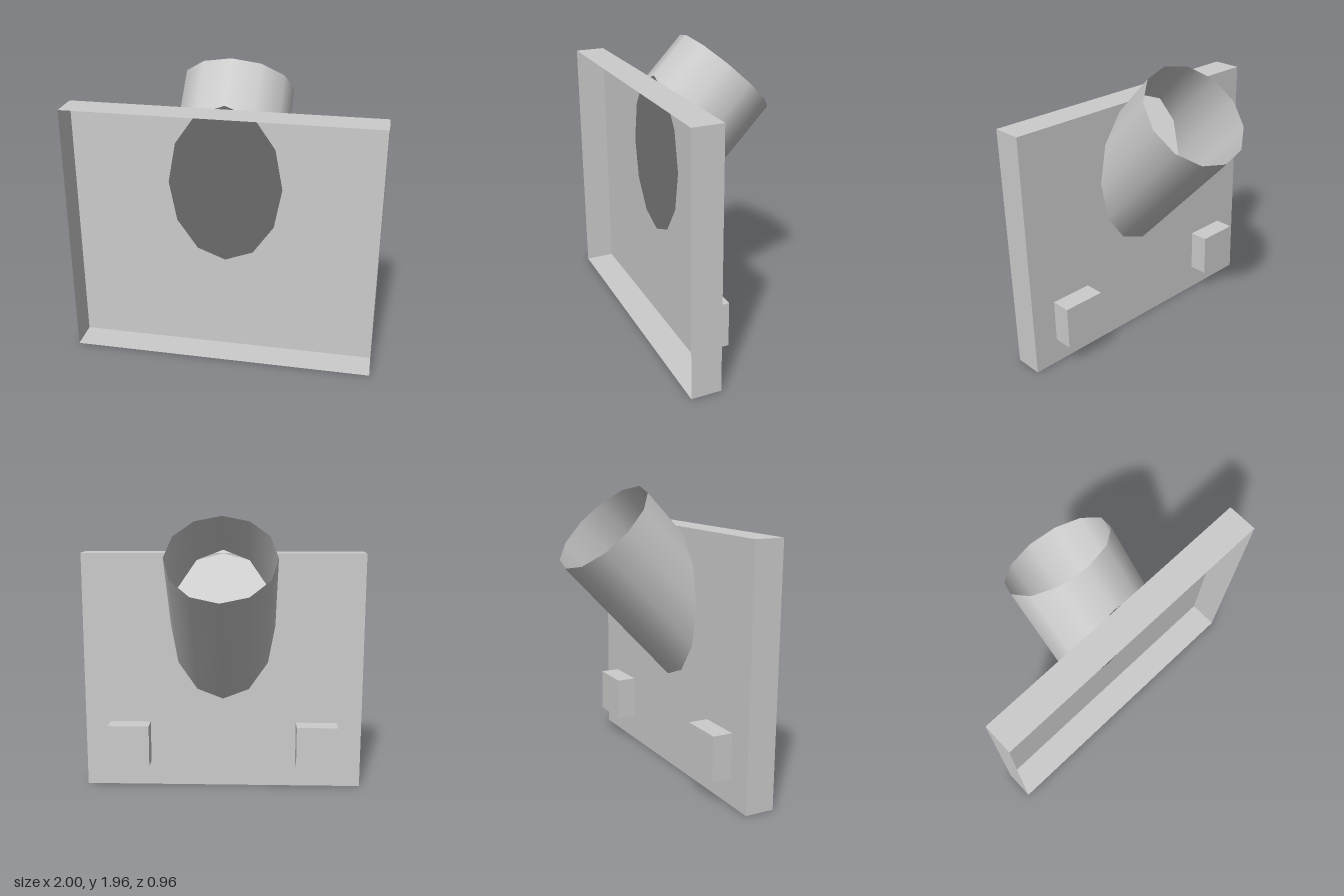
import * as THREE from 'three';

export function createModel() {
  const group = new THREE.Group();
  const grey = new THREE.MeshStandardMaterial({ color: 0xcccccc, side: THREE.DoubleSide });
  grey.name = 'light grey';
  const add = (name, geometry) => {
    const mesh = new THREE.Mesh(geometry, grey);
    mesh.name = name;
    group.add(mesh);
    return mesh;
  };

  const backZ = 0.28, frontZ = 0.48, height = 1.7;
  const sides = 12, radius = 0.37, length = 0.714, mouthY = 1.19;
  const tilt = -Math.atan2(0.495, 0.515);
  const axis = new THREE.Vector3(0, Math.cos(tilt), Math.sin(tilt));

  // Shallow tray rim: four thin walls, open at the front
  const rim = new THREE.BoxGeometry(2, height, frontZ - backZ);
  rim.setIndex(Array.from(rim.index.array).slice(0, 24));
  rim.clearGroups();
  rim.translate(0, height / 2, (frontZ + backZ) / 2);
  add('trayRim', rim);

  // Back panel, cut out where the slanted tube meets it
  const panel = new THREE.Shape([
    new THREE.Vector2(-1, 0), new THREE.Vector2(1, 0),
    new THREE.Vector2(1, height), new THREE.Vector2(-1, height),
  ]);
  const outline = [];
  for (let i = 0; i < sides; i++) {
    const a = (i / sides) * Math.PI * 2;
    // The cut end reaches slightly above the panel's top edge
    const y = mouthY + (radius / -axis.z) * Math.cos(a);
    outline.push(new THREE.Vector2(radius * Math.sin(a), Math.min(y, height - 0.001)));
  }
  panel.holes.push(new THREE.Path(outline));
  const panelGeometry = new THREE.ShapeGeometry(panel);
  panelGeometry.rotateY(Math.PI).translate(0, 0, backZ);
  add('backPanel', panelGeometry);

  // Tilt a tube piece and slide its lower end along the axis onto the panel plane
  const placeOnPanel = (geometry) => {
    const p = geometry.attributes.position;
    const lower = [];
    for (let i = 0; i < p.count; i++) lower.push(p.getY(i) < 0.01);
    geometry.rotateX(tilt).translate(0, mouthY, backZ);
    const v = new THREE.Vector3();
    for (let i = 0; i < p.count; i++) {
      if (!lower[i]) continue;
      v.fromBufferAttribute(p, i);
      v.addScaledVector(axis, (backZ - v.z) / axis.z);
      p.setXYZ(i, v.x, v.y, v.z);
    }
    return geometry;
  };

  // Slanted tube, open at its upper end and closed at the panel
  const tube = new THREE.CylinderGeometry(radius, radius, length, sides, 1, true);
  tube.translate(0, length / 2, 0);
  add('slantedTube', placeOnPanel(tube));
  const cap = new THREE.CircleGeometry(radius, sides).rotateX(Math.PI / 2);
  add('tubeBase', placeOnPanel(cap));

  // Two square blocks low on the back
  for (const side of [-1, 1]) {
    const block = add(side > 0 ? 'leftBlock' : 'rightBlock', new THREE.BoxGeometry(0.295, 0.3, 0.136));
    block.position.set(side * 0.675, 0.33, backZ - 0.068);
  }
  return group;
}
